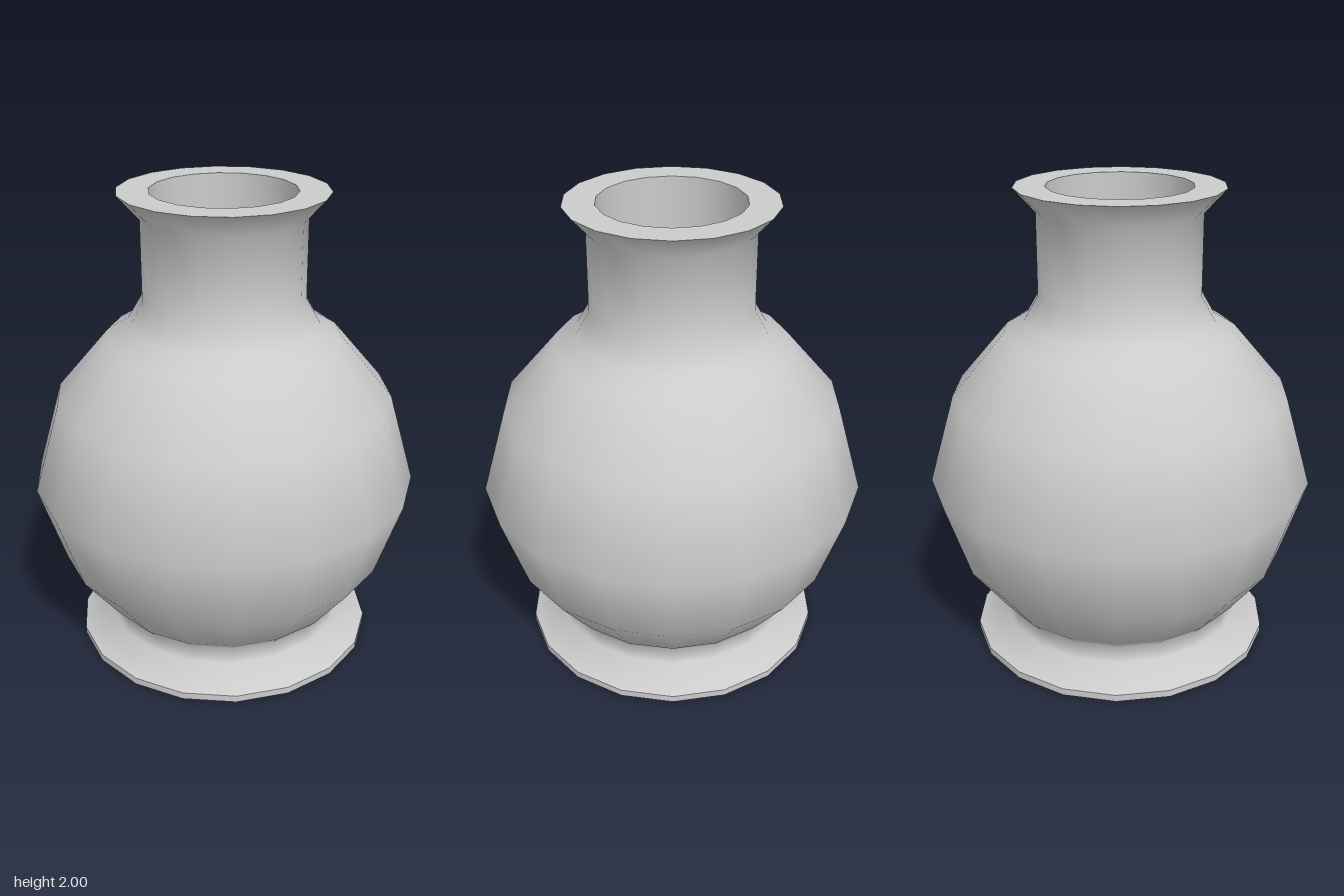
import * as THREE from 'three';
import { toCreasedNormals } from 'three/addons/utils/BufferGeometryUtils.js';

const SIDES = 18;

// Profile sections as [radius, height], running up the outside and down the bore
const foot = [[0, 0], [0.65, 0], [0.65, 0.03], [0.52, 0.1], [0.51, 0.17]];
const belly = [[0.55, 0.21], [0.71, 0.42], [0.82, 0.76], [0.71, 1.14], [0.49, 1.4], [0.4, 1.455]];
const neck = [[0.34, 1.56], [0.34, 1.9], [0.43, 2]];
const bore = [[0.3, 2], [0.3, 1.45], [0, 1.45]];

export function createModel() {
  const group = new THREE.Group();
  group.name = 'vase';

  const profile = [...foot, ...belly, ...neck, ...bore].map(([r, y]) => new THREE.Vector2(r, y));

  // A corner of the 18-sided outline lies on the x axis
  const lathe = new THREE.LatheGeometry(profile, SIDES, Math.PI / 2);

  // Smooth body, sharp rim and foot edges
  const geometry = toCreasedNormals(lathe, THREE.MathUtils.degToRad(57));
  const body = new THREE.Mesh(geometry, new THREE.MeshStandardMaterial({ color: 0xcccccc }));
  body.name = 'vaseBody';
  group.add(body);

  return group;
}
